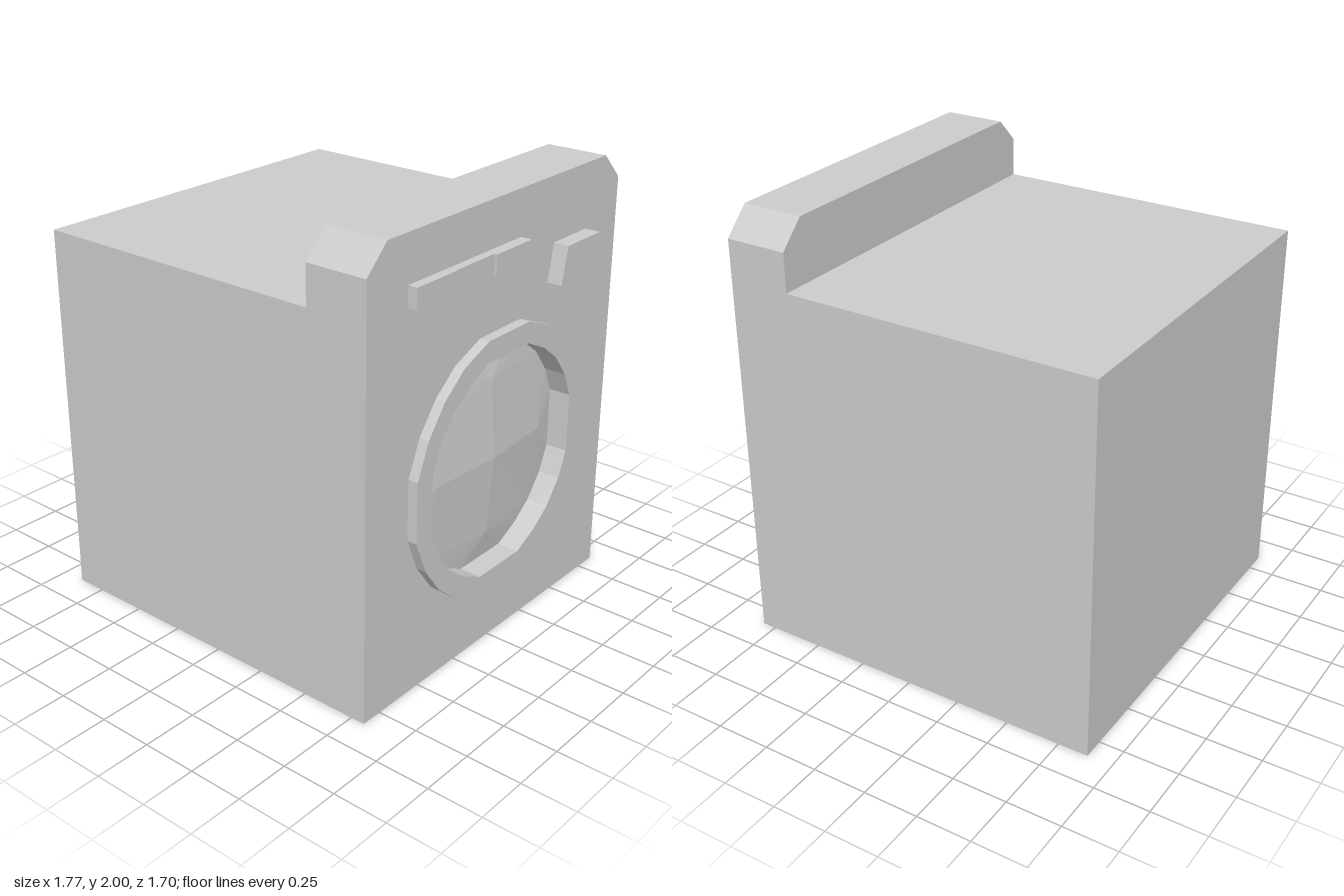
import * as THREE from 'three';

const material = new THREE.MeshStandardMaterial({ color: 0xcccccc, flatShading: true });
const FACE = 0.815;   // x of the door side
const DOOR_Y = 0.858; // height of the door centre

// Mirrors a quarter outline into a full counter-clockwise 20-sided loop
function fullLoop(quarter) {
  const back = [...quarter].reverse();
  return [
    ...quarter,
    ...back.map(([u, v]) => [-u, v]),
    ...quarter.map(([u, v]) => [-u, -v]),
    ...back.map(([u, v]) => [u, -v]),
  ].map(([u, v]) => new THREE.Vector2(u, v + DOOR_Y));
}

const toPoints = (list) => list.map(([u, v]) => new THREE.Vector2(u, v));

export function createModel() {
  const group = new THREE.Group();

  const add = (name, geometry) => {
    const mesh = new THREE.Mesh(geometry, material);
    mesh.name = name;
    group.add(mesh);
  };

  // Extrudes an outline (u = -z, v = y) along x from x0 to x1
  const slab = (name, outline, x0, x1, hole) => {
    const shape = new THREE.Shape(outline);
    if (hole) shape.holes.push(new THREE.Path(hole));
    const geometry = new THREE.ExtrudeGeometry(shape, { depth: x1 - x0, bevelEnabled: false });
    geometry.translate(0, 0, x0);
    geometry.rotateY(Math.PI / 2);
    add(name, geometry);
  };

  const outer = fullLoop([[0.587, 0.135], [0.522, 0.29], [0.425, 0.42], [0.3, 0.52], [0.14, 0.583]]);
  const inner = fullLoop([[0.49, 0.135], [0.44, 0.25], [0.36, 0.355], [0.26, 0.43], [0.14, 0.488]]);

  // Cabinet and raised control panel with chamfered top corners
  slab('cabinet', toPoints([[-0.85, 0], [0.85, 0], [0.85, 1.71], [-0.85, 1.71]]), -0.887, 0.53);
  slab('controlPanel', toPoints([
    [-0.85, 0], [0.85, 0], [0.85, 1.885], [0.735, 2], [-0.735, 2], [-0.85, 1.885],
  ]), 0.53, FACE, inner);

  // Door ring
  slab('doorRing', outer, FACE, 0.86, inner);

  // Door glass: a shallow faceted dome set back inside the ring
  const rim = 0.76;
  const positions = [];
  const tri = (...corners) => corners.forEach((c) => positions.push(c.x, c.y, c.z));
  const edge = inner.map((p) => new THREE.Vector3(p.x, p.y, rim));
  const apex = new THREE.Vector3(0, DOOR_Y, 0.81);
  const middles = [[0, 0.355], [-0.36, 0], [0, -0.355], [0.36, 0]];
  middles.forEach(([u, v], k) => {
    const middle = new THREE.Vector3(u, v + DOOR_Y, 0.787);
    const first = 2 + k * 5;
    for (let i = first; i < first + 5; i++) tri(middle, edge[i % 20], edge[(i + 1) % 20]);
    tri(apex, edge[first], middle);
    tri(apex, middle, edge[(first + 5) % 20]);
  });
  const glass = new THREE.BufferGeometry();
  glass.setAttribute('position', new THREE.Float32BufferAttribute(positions, 3));
  glass.computeVertexNormals();
  glass.rotateY(Math.PI / 2);
  add('doorGlass', glass);

  // Row of three buttons: z range and front x
  [[0.365, 0.61, 0.858], [0.12, 0.365, 0.853], [-0.117, 0.12, 0.866]].forEach(([z0, z1, x], i) => {
    slab(`button${i + 1}`, toPoints([[-z1, 1.71], [-z0, 1.71], [-z0, 1.797], [-z1, 1.797]]), FACE, x);
  });

  // Slanted four-sided selector
  slab('selector', toPoints([[0.33, 1.545], [0.513, 1.495], [0.607, 1.71], [0.365, 1.71]]), FACE, 0.885);

  return group;
}
